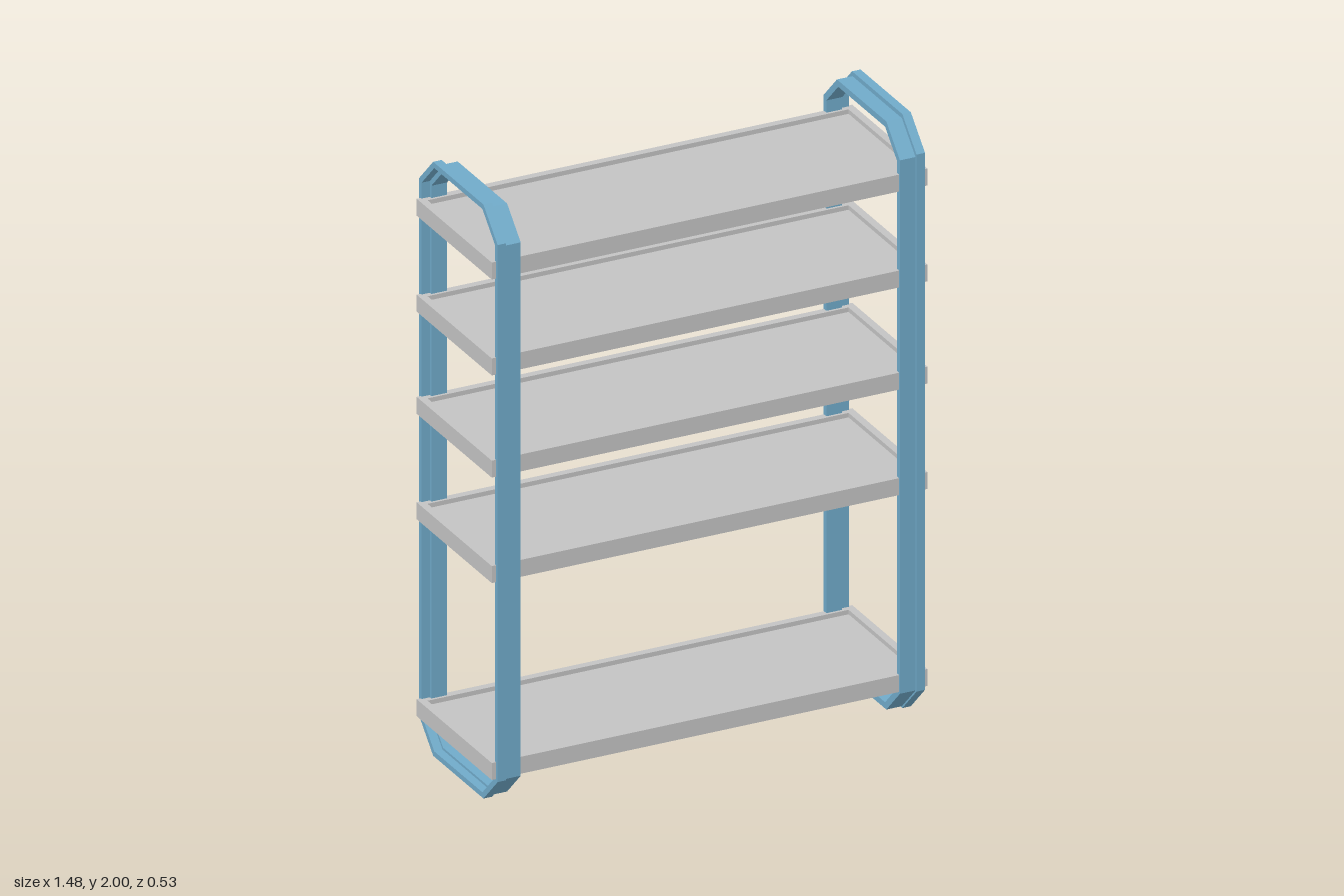
import * as THREE from 'three';

// Rectangle with four cut corners
function cutRect(PathClass, hw, y0, y1, c) {
  const p = new PathClass();
  p.moveTo(-hw + c, y0);
  [[hw - c, y0], [hw, y0 + c], [hw, y1 - c], [hw - c, y1],
    [-hw + c, y1], [-hw, y1 - c], [-hw, y0 + c]].forEach(([x, y]) => p.lineTo(x, y));
  p.closePath();
  return p;
}

// Eight-sided hoop standing in the yz plane, x0 to x1 wide and t thick
function hoop(name, material, hw, y0, y1, c, t, x0, x1) {
  const shape = cutRect(THREE.Shape, hw, y0, y1, c);
  shape.holes.push(cutRect(THREE.Path, hw - t, y0 + t, y1 - t, c - 0.586 * t));
  const geo = new THREE.ExtrudeGeometry(shape, { depth: x1 - x0, bevelEnabled: false });
  geo.rotateY(Math.PI / 2);
  geo.translate(x0, 0, 0);
  const mesh = new THREE.Mesh(geo, material);
  mesh.name = name;
  return mesh;
}

export function createModel() {
  const frameBlue = new THREE.MeshStandardMaterial({ color: 0x70aac9 });
  frameBlue.name = 'frame blue';
  const shelfGrey = new THREE.MeshStandardMaterial({ color: 0xc3c3c3 });
  shelfGrey.name = 'shelf grey';

  const model = new THREE.Group();
  model.name = 'shelving unit';

  // End frames: a narrow outer hoop stepped onto a wide inner hoop
  for (const [side, s] of [['left', 1], ['right', -1]]) {
    const frame = new THREE.Group();
    frame.name = side + 'EndFrame';
    const span = (a, b) => (s > 0 ? [a, b] : [-b, -a]);
    frame.add(
      hoop('outerHoop', frameBlue, 0.266, 0, 2, 0.096, 0.018, ...span(0.699, 0.728)),
      hoop('innerHoop', frameBlue, 0.259, 0.005, 1.985, 0.092, 0.021, ...span(0.646, 0.7)),
    );
    model.add(frame);
  }

  // Shelves: shallow trays with a raised rim
  const W = 1.484, D = 0.508, H = 0.057, RIM = 0.025, DEPTH = 0.015;
  const box = (name, w, h, d, x, y, z) => {
    const mesh = new THREE.Mesh(new THREE.BoxGeometry(w, h, d), shelfGrey);
    mesh.position.set(x, y, z);
    mesh.name = name;
    return mesh;
  };
  [0.101, 0.764, 1.119, 1.463, 1.786].forEach((y, i) => {
    const shelf = new THREE.Group();
    shelf.name = 'shelf' + (i + 1);
    shelf.add(box('tray', W, H - DEPTH, D, 0, (H - DEPTH) / 2, 0));
    for (const s of [-1, 1]) {
      shelf.add(
        box('longRim', W, DEPTH, RIM, 0, H - DEPTH / 2, s * (D - RIM) / 2),
        box('endRim', RIM, DEPTH, D - 2 * RIM, s * (W - RIM) / 2, H - DEPTH / 2, 0),
      );
    }
    shelf.position.y = y;
    model.add(shelf);
  });

  return model;
}
